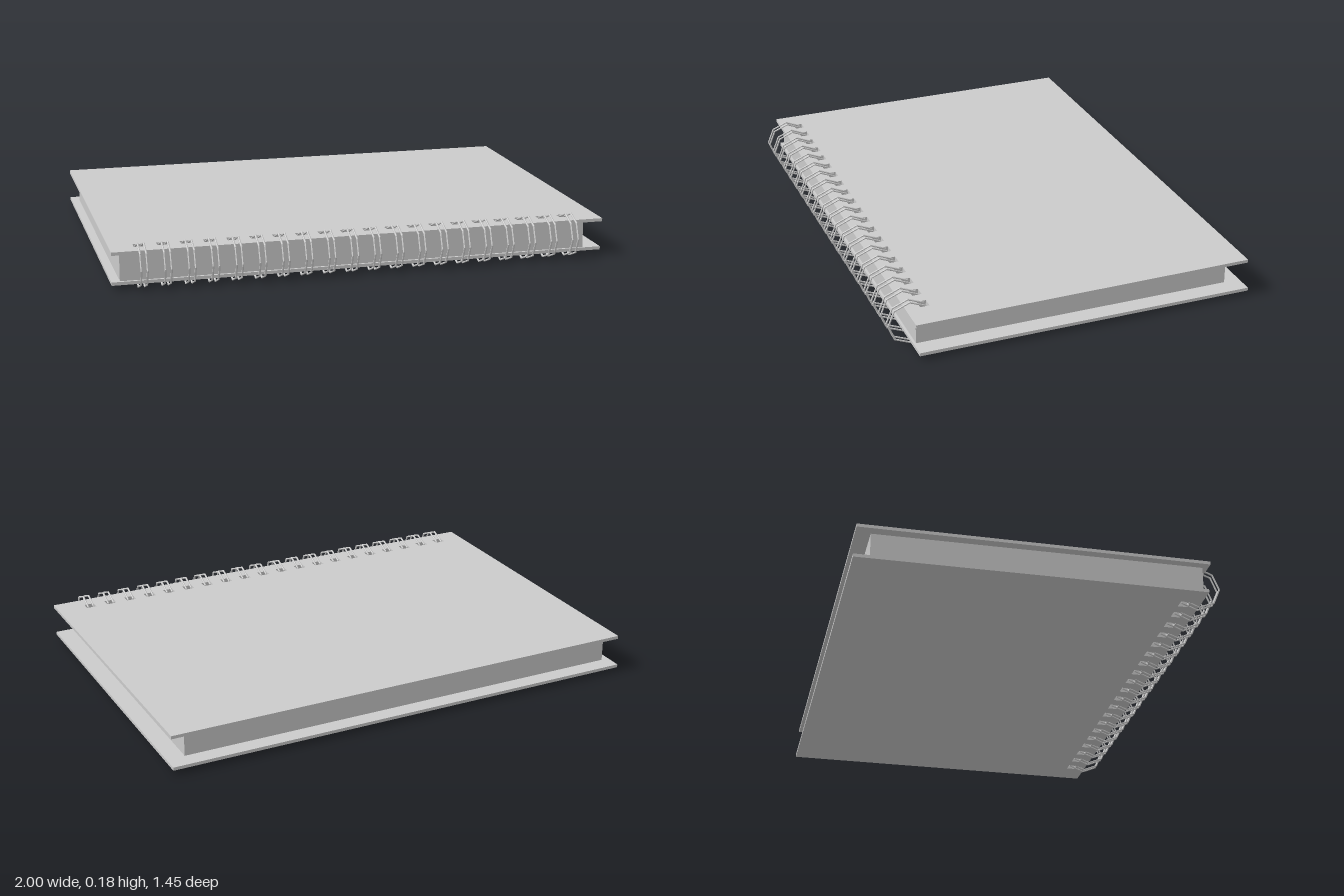
import * as THREE from 'three';

const RINGS = 20, FIRST_X = -0.884, STEP = 0.0917;
const ringX = Array.from({ length: RINGS }, (_, i) => FIRST_X + i * STEP);

function rectangle(target, x0, x1, z0, z1) {
  target.moveTo(x0, z0).lineTo(x1, z0).lineTo(x1, z1).lineTo(x0, z1).closePath();
  return target;
}

export function createModel() {
  const model = new THREE.Group();
  const material = new THREE.MeshStandardMaterial({ color: 0xcccccc, flatShading: true });

  // Flat sheet with a row of punched slots, its top face at local y = 0
  function punchedSlab(name, x0, x1, z0, z1, thickness) {
    const shape = rectangle(new THREE.Shape(), x0, x1, z0, z1);
    for (const x of ringX) {
      shape.holes.push(rectangle(new THREE.Path(), x - 0.021, x + 0.021, 0.563, 0.6));
    }
    const geometry = new THREE.ExtrudeGeometry(shape, { depth: thickness, bevelEnabled: false });
    geometry.rotateX(Math.PI / 2);
    const mesh = new THREE.Mesh(geometry, material);
    mesh.name = name;
    model.add(mesh);
    return mesh;
  }

  // Covers and page block
  punchedSlab('backCover', -1, 1, -0.725, 0.645, 0.013).position.y = 0.031;
  punchedSlab('pages', -0.967, 0.927, -0.658, 0.635, 0.109).position.y = 0.14;
  const frontCover = punchedSlab('frontCover', -1, 1, -0.716, 0.657, 0.013);
  frontCover.position.y = 0.1555;
  frontCover.rotation.x = 0.0042; // rests slightly raised at the far edge

  // Twin-wire binding: a pair of eight-sided rings through each slot
  const binding = new THREE.Group();
  binding.name = 'wireBinding';
  const wire = new THREE.TorusGeometry(0.086, 0.004, 6, 8);
  wire.rotateY(-Math.PI / 2);
  for (const x of ringX) {
    for (const side of [-1, 1]) {
      const ring = new THREE.Mesh(wire, material);
      ring.name = 'ring';
      ring.position.set(x + side * 0.012, 0.09, 0.638);
      binding.add(ring);
    }
  }
  model.add(binding);
  return model;
}
